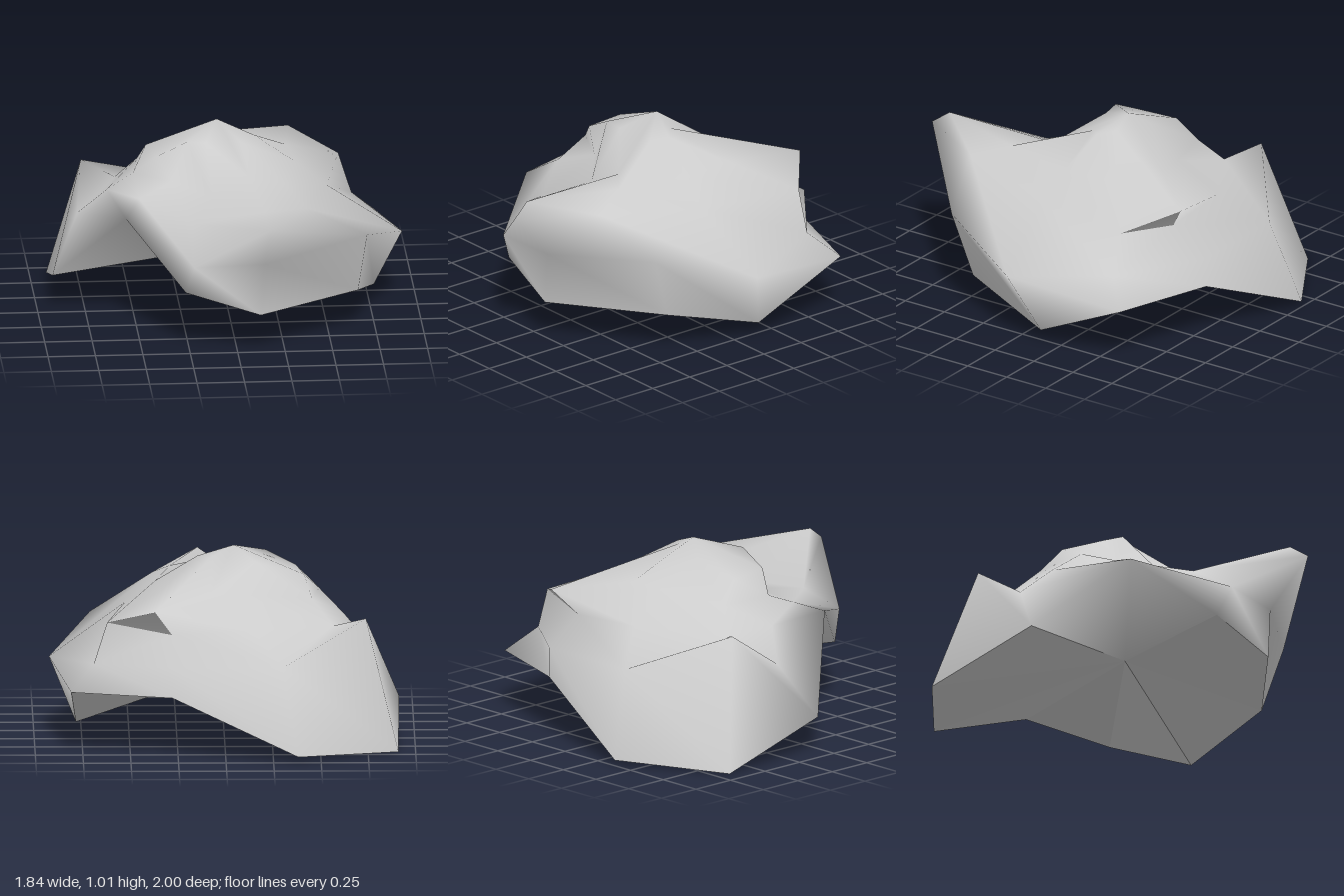
import * as THREE from 'three';

// Each column runs from the foot of the rock over its wall, shoulder and plateau to the crown.
// Columns go round from the back over +x, front and -x.
const columns = [
  [[-0.38, 0.03, -1.0], [-0.3, 0.48, -0.85], [-0.14, 0.64, -0.63], [-0.1, 0.79, -0.4], [-0.16, 0.93, -0.19]],
  [[0.28, 0.32, -0.85], [0.28, 0.48, -0.85], [0.28, 0.62, -0.64], [0.37, 0.76, -0.75], [0.08, 0.8, -0.43]],
  [[0.81, 0.32, -0.67], [0.69, 0.45, -0.54], [0.62, 0.67, -0.54], [0.33, 0.8, -0.3], [0.06, 0.95, -0.12]],
  [[0.78, 0.07, -0.14], [0.92, 0.4, -0.02], [0.52, 0.68, 0.03], [0.36, 0.8, 0.0], [0.14, 0.94, -0.05]],
  [[0.66, 0.21, 0.38], [0.7, 0.55, 0.49], [0.37, 0.74, 0.6], [0.28, 0.81, 0.4], [0.07, 0.92, 0.02]],
  [[0.12, 0.21, 0.77], [0.14, 0.49, 0.77], [0.15, 0.75, 1.0], [0.13, 0.82, 0.9], [0.1, 0.8, 0.26]],
  [[-0.27, 0.32, 0.7], [-0.23, 0.48, 0.77], [-0.22, 0.64, 0.52], [-0.1, 0.7, 0.28], [-0.12, 0.94, 0.07]],
  [[-0.03, 0.33, -0.03], [-0.56, 0.62, 0.35], [-0.48, 0.68, 0.2], [-0.3, 0.74, 0.1], [-0.22, 0.95, 0.08]],
  [[-0.92, 0.19, -0.04], [-0.78, 0.48, -0.2], [-0.63, 0.64, -0.1], [-0.5, 0.76, 0.0], [-0.38, 0.87, 0.07]],
  [[-0.91, 0.0, -0.67], [-0.74, 0.68, -0.49], [-0.57, 0.62, -0.37], [-0.46, 0.75, -0.28], [-0.42, 0.86, -0.17]],
];
const peak = [-0.05, 1.01, -0.12];
const archInner = 7; // column where the folded underside reaches inward

// ring:column of the faces whose ridge runs along the other diagonal
const flipped = new Set(['0:7', '1:1', '1:5', '1:9', '2:1', '2:5', '3:5']);

function makeGeometry(points, index) {
  const g = new THREE.BufferGeometry();
  g.setAttribute('position', new THREE.Float32BufferAttribute(points.flat(), 3));
  g.setIndex(index);
  return g;
}

export function createModel() {
  const group = new THREE.Group();
  group.name = 'rock';
  const stone = new THREE.MeshStandardMaterial({ color: 0xcccccc });
  stone.name = 'paleStone';

  // smooth outer surface, lofted ring by ring up to the peak
  const n = columns.length;
  const rings = columns[0].length;
  const points = [];
  for (let r = 0; r < rings; r++) for (const c of columns) points.push(c[r]);
  points.push(peak);
  const index = [];
  for (let r = 0; r < rings; r++) {
    for (let i = 0; i < n; i++) {
      const a = r * n + i;
      const b = r * n + ((i + 1) % n);
      if (r === rings - 1) index.push(b, a, n * rings);
      else if (flipped.has(`${r}:${i}`)) index.push(b, a, a + n, b, a + n, b + n);
      else index.push(b, a, b + n, a, a + n, b + n);
    }
  }
  const shell = makeGeometry(points, index);
  shell.computeVertexNormals();
  const shellMesh = new THREE.Mesh(shell, stone);
  shellMesh.name = 'rockSurface';
  group.add(shellMesh);

  // flat-faceted underside, fanned out from the inner corner of the arch
  const fan = [];
  for (let k = 1; k < n - 1; k++) {
    fan.push(archInner, (archInner + k) % n, (archInner + k + 1) % n);
  }
  const under = makeGeometry(columns.map((c) => c[0]), fan).toNonIndexed();
  under.computeVertexNormals();
  const underMesh = new THREE.Mesh(under, stone);
  underMesh.name = 'rockUnderside';
  group.add(underMesh);

  return group;
}
